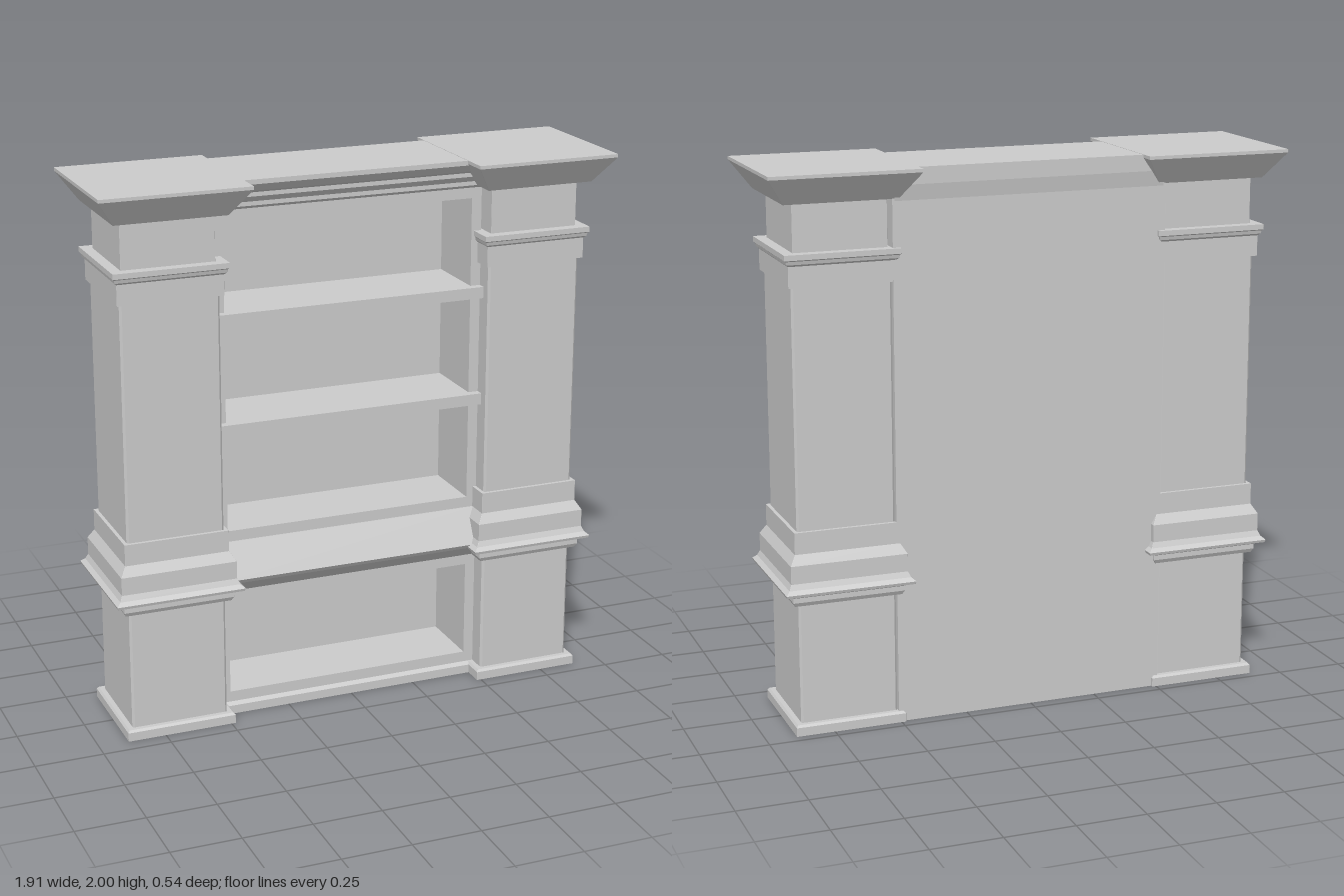
import * as THREE from 'three';

const grey = new THREE.MeshStandardMaterial({ color: 0xcccccc, flatShading: true });
const greyOpen = new THREE.MeshStandardMaterial({ color: 0xcccccc, flatShading: true, side: THREE.DoubleSide });

function add(parent, name, geometry, material = grey) {
  const mesh = new THREE.Mesh(geometry, material);
  mesh.name = name;
  parent.add(mesh);
  return mesh;
}

// Box given by its limits on each axis
function box(x0, x1, y0, y1, z0, z1) {
  return new THREE.BoxGeometry(x1 - x0, y1 - y0, z1 - z0)
    .translate((x0 + x1) / 2, (y0 + y1) / 2, (z0 + z1) / 2);
}

// Square moulding: rows of [half width, height, corner chamfer]
function squareLoft(rows, capTop = false) {
  const pos = [], idx = [];
  for (const [h, y, c = 0.0008] of rows) {
    const k = h - c;
    for (const [x, z] of [[h, k], [h, -k], [k, -h], [-k, -h], [-h, -k], [-h, k], [-k, h], [k, h]]) pos.push(x, y, z);
  }
  for (let r = 0; r < rows.length - 1; r++) {
    for (let i = 0; i < 8; i++) {
      const a = r * 8 + i, b = r * 8 + (i + 1) % 8;
      idx.push(a, b, b + 8, a, b + 8, a + 8);
    }
  }
  if (capTop) {
    const t = (rows.length - 1) * 8;
    for (let i = 1; i < 7; i++) idx.push(t, t + i, t + i + 1);
  }
  const g = new THREE.BufferGeometry();
  g.setAttribute('position', new THREE.Float32BufferAttribute(pos, 3));
  g.setIndex(idx);
  const flat = g.toNonIndexed();
  flat.computeVertexNormals();
  return flat;
}

// Straight moulding along x from a [z, y] profile
function moulding(profile, half) {
  const shape = new THREE.Shape(profile.map(([z, y]) => new THREE.Vector2(z, y)));
  return new THREE.ExtrudeGeometry(shape, { depth: half * 2, bevelEnabled: false })
    .rotateY(-Math.PI / 2).translate(half, 0, 0);
}

function rectangle(Type, x, y0, y1) {
  return new Type([[-x, y0], [x, y0], [x, y1], [-x, y1]].map(p => new THREE.Vector2(...p)));
}

function createPillar(name) {
  const pillar = new THREE.Group();
  pillar.name = name;
  const column = new THREE.Group();
  column.name = 'column';
  column.position.z = -0.012;
  pillar.add(column);

  const parts = {
    plinth: [[0.203, 0], [0.203, 0.032], [0.196, 0.04], [0.178, 0.04]],
    lowerShaft: [[0.179, 0.0, 0.008], [0.179, 0.49, 0.008]],
    belt: [[0.178, 0.482], [0.196, 0.482], [0.204, 0.497], [0.204, 0.515], [0.212, 0.524], [0.234, 0.527],
      [0.237, 0.537], [0.222, 0.55], [0.213, 0.57], [0.213, 0.635], [0.192, 0.67], [0.192, 0.748], [0.178, 0.748]],
    upperShaft: [[0.179, 0.74, 0.008], [0.179, 1.615, 0.008]],
    collar: [[0.178, 1.608], [0.191, 1.608], [0.191, 1.683], [0.199, 1.69], [0.202, 1.702],
      [0.207, 1.706], [0.207, 1.725], [0.168, 1.725]],
    neck: [[0.168, 1.72], [0.168, 1.9]],
  };
  for (const [part, rows] of Object.entries(parts)) add(column, part, squareLoft(rows), greyOpen);

  // Flared capital with a thin square lip
  add(pillar, 'capital', squareLoft([[0.165, 1.893], [0.203, 1.893], [0.27, 1.988], [0.27, 2]], true), greyOpen);
  return pillar;
}

export function createModel() {
  const model = new THREE.Group();
  model.name = 'bookcase';

  for (const side of [1, -1]) {
    const pillar = createPillar(side > 0 ? 'leftPillar' : 'rightPillar');
    pillar.position.x = side * 0.687;
    model.add(pillar);
  }

  // Carcass with an upper and a lower bay
  const front = rectangle(THREE.Shape, 0.508, 0, 1.9);
  front.holes.push(rectangle(THREE.Path, 0.47, 0.08, 0.44), rectangle(THREE.Path, 0.47, 0.71, 1.845));
  add(model, 'carcass', new THREE.ExtrudeGeometry(front, { depth: 0.255, bevelEnabled: false }).translate(0, 0, -0.16));
  add(model, 'backPanel', box(-0.508, 0.508, 0, 1.9, -0.204, -0.16));

  // Shelves stand slightly proud of the carcass
  for (const y of [1.077, 1.48]) add(model, 'shelf', box(-0.508, 0.508, y, y + 0.042, -0.16, 0.125));

  // Horizontal mouldings between the pillars
  add(model, 'baseboard', moulding([[-0.2, 0], [0.115, 0], [0.115, 0.032], [0.095, 0.04], [-0.2, 0.04]], 0.5));
  add(model, 'ledge', moulding([[0.08, 0.48], [0.1, 0.48], [0.155, 0.53], [0.165, 0.545], [0.1, 0.67], [0.08, 0.67]], 0.5));
  add(model, 'cornice', moulding([[-0.204, 1.885], [0.1, 1.885], [0.11, 1.895], [0.11, 1.91], [0.125, 1.93],
    [0.125, 1.945], [0.145, 1.955], [0.168, 1.982], [0.168, 1.999], [-0.213, 1.999], [-0.213, 1.94]], 0.5));

  return model;
}
